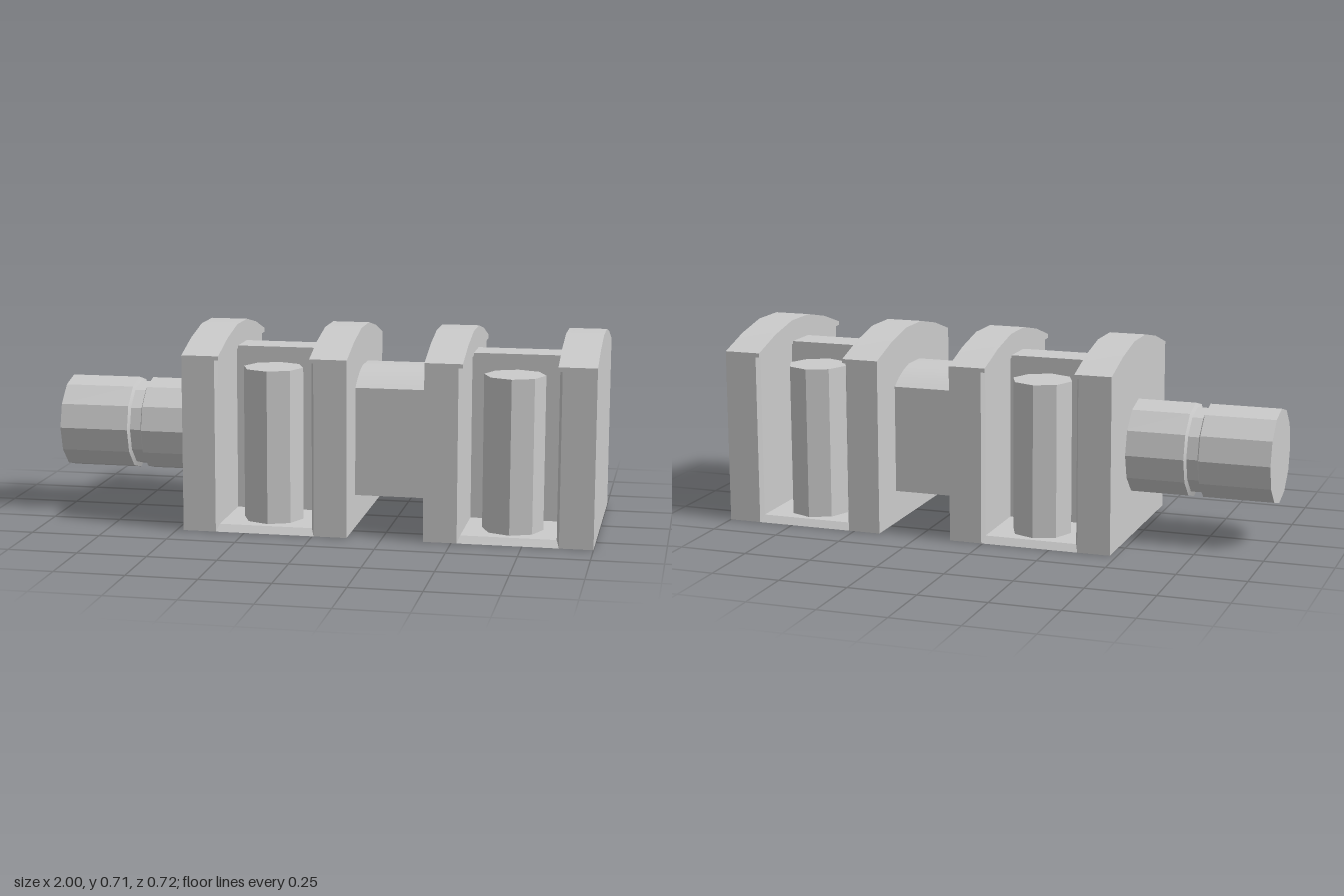
import * as THREE from 'three';
import { toCreasedNormals } from 'three/addons/utils/BufferGeometryUtils.js';

const material = new THREE.MeshStandardMaterial({ color: 0xcccccc });

function add(parent, name, geometry, x = 0, y = 0, z = 0) {
  const mesh = new THREE.Mesh(geometry, material);
  mesh.name = name;
  mesh.position.set(x, y, z);
  parent.add(mesh);
  return mesh;
}

// Outline of [z, y] points for the z >= 0 half, mirrored and extruded along x
function slab(half, thickness) {
  const outline = [...half, ...half.map(([z, y]) => [-z, y]).reverse()];
  const shape = new THREE.Shape(outline.map(([z, y]) => new THREE.Vector2(z, y)));
  const geometry = new THREE.ExtrudeGeometry(shape, { depth: thickness, bevelEnabled: false });
  geometry.translate(0, 0, -thickness / 2).rotateY(Math.PI / 2);
  return toCreasedNormals(geometry, 0.4);
}

// Box whose vertices on one side ('x' or 'y' axis, sign) are drawn in along z
function bevelledBox(w, h, d, axis, sign, innerDepth) {
  const geometry = new THREE.BoxGeometry(w, h, d).toNonIndexed();
  const p = geometry.attributes.position;
  for (let i = 0; i < p.count; i++) {
    const v = axis === 'x' ? p.getX(i) : p.getY(i);
    if (v * sign > 0) p.setZ(i, Math.sign(p.getZ(i)) * innerDepth / 2);
  }
  geometry.computeVertexNormals();
  return geometry;
}

function createBlock(name) {
  const block = new THREE.Group();
  block.name = name;
  const crown = [[0.36, 0.64], [0.22, 0.685], [0.075, 0.715]];

  for (const side of [-1, 1]) {
    // Arched cheek with a slightly overhanging cap and a bevelled inner wall
    add(block, 'cheek', slab([[0.36, 0], ...crown], 0.12), side * 0.24);
    add(block, 'cheekCap', slab([[0.36, 0.625], ...crown], 0.015), side * 0.1725);
    add(block, 'cheekLiner', bevelledBox(0.01, 0.625, 0.72, 'x', -side, 0.68),
      side * 0.175, 0.3125);

    // Octagonal posts standing on the floor
    add(block, 'post', new THREE.CylinderGeometry(0.11, 0.11, 0.56, 8).toNonIndexed(),
      0, 0.303, side * 0.205 - 0.003);
  }
  block.children.filter((m) => m.name === 'post').forEach((m) => {
    m.geometry = toCreasedNormals(m.geometry, 0.4);
  });

  // Floor with sloped front and back edges, and the wall between the posts
  add(block, 'floor', bevelledBox(0.36, 0.025, 0.72, 'y', 1, 0.68), 0, 0.0125);
  add(block, 'web', new THREE.BoxGeometry(0.36, 0.62, 0.135), 0, 0.325, -0.002);
  return block;
}

export function createModel() {
  const model = new THREE.Group();
  model.name = 'twinBlockShaft';

  // Two identical slotted blocks
  const first = createBlock('rightBlock');
  first.position.x = -0.175;
  const second = createBlock('leftBlock');
  second.position.x = 0.7;
  model.add(first, second);

  // Round-topped link joining the blocks
  const link = [[0.195, 0.12], [0.195, 0.515], [0.155, 0.541], [0.106, 0.562], [0.054, 0.575], [0, 0.58]];
  add(model, 'link', slab(link.slice(0, -1), 0.3), 0.2625);

  // Twelve-sided stub shaft with a narrow groove
  const profile = [[0, 0.46], [0.173, 0.46], [0.173, 0.688], [0.157, 0.695],
    [0.157, 0.735], [0.173, 0.742], [0.173, 1], [0, 1]];
  const stub = new THREE.LatheGeometry(profile.map(([r, y]) => new THREE.Vector2(r, y)), 12);
  stub.rotateZ(Math.PI / 2);
  add(model, 'stubShaft', toCreasedNormals(stub, 0.4), 0, 0.32, -0.006);

  return model;
}
